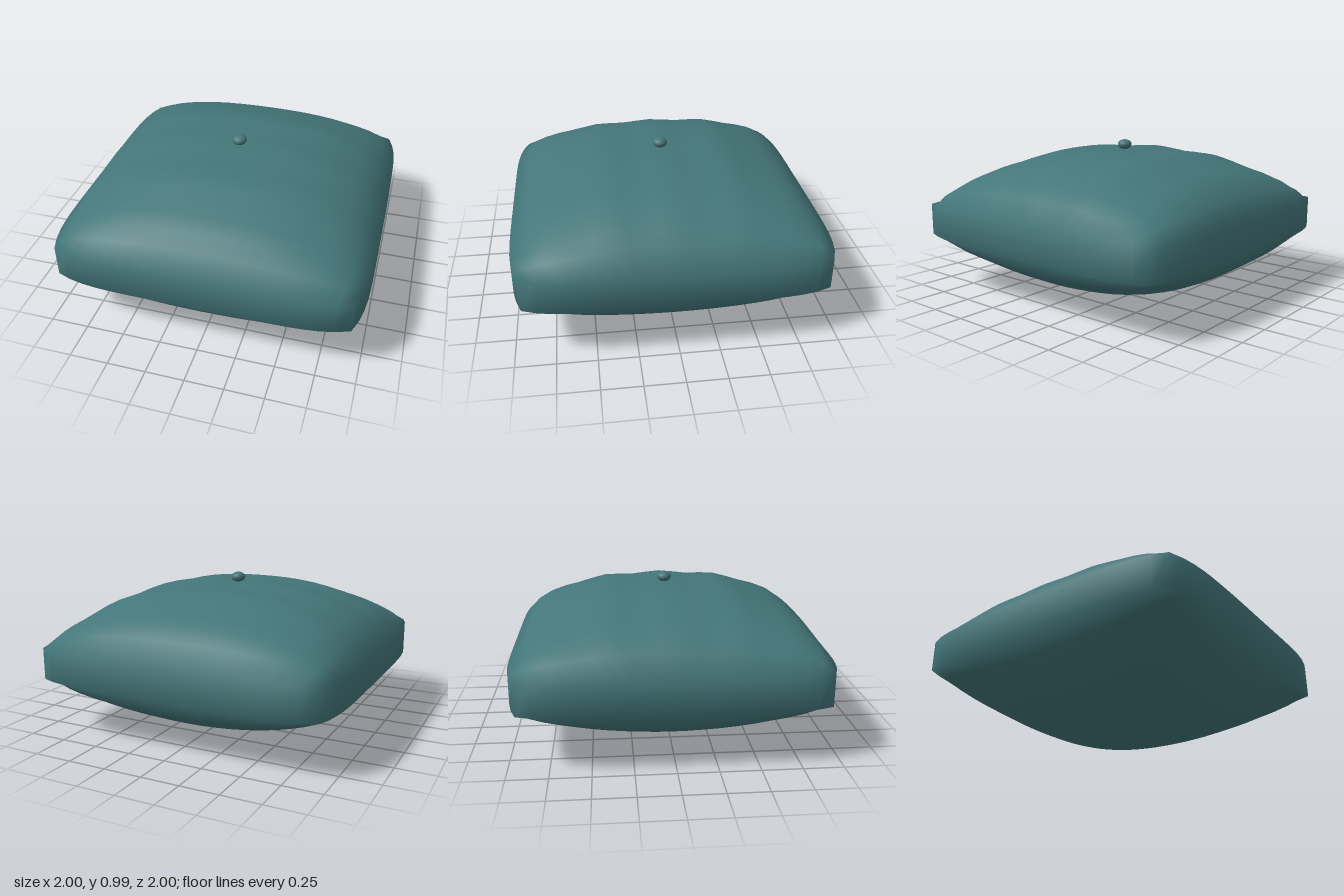
import * as THREE from 'three';
import { mergeVertices } from 'three/addons/utils/BufferGeometryUtils.js';

const MID = 0.468;   // height of the side band's centre
const BAND = 0.103;  // half height of the side band

// Swelling of the cushion from its edge (0) to its middle (1)
const swell = (u, n, p) => Math.pow(Math.max(0, 1 - Math.pow(Math.abs(u), n)), p);

function cushionGeometry() {
  let geo = new THREE.BoxGeometry(2, 2 * BAND, 2, 20, 1, 20);
  geo.deleteAttribute('normal');
  geo.deleteAttribute('uv');
  geo = mergeVertices(geo, 1e-4);
  const pos = geo.attributes.position;
  for (let i = 0; i < pos.count; i++) {
    const u = pos.getX(i), v = pos.getZ(i);
    let y;
    if (pos.getY(i) > 0) {
      // Upper side: full, with soft ripples and a dimple under the button
      const f = swell(u, 2.4, 0.65) * swell(v, 2.4, 0.65);
      const ripple = 0.01 * Math.cos(5 * Math.PI * v) * f;
      const dimple = 0.012 * Math.exp(-(u * u + v * v) / 0.015);
      y = MID + BAND + 0.365 * f + ripple - dimple;
    } else {
      // Underside: a plain even bulge
      y = MID - BAND - 0.362 * swell(u, 2, 0.67) * swell(v, 2, 0.67);
    }
    // Pull the four corners in
    pos.setXYZ(i, u * (1 - 0.07 * Math.pow(v, 6)), y, v * (1 - 0.07 * Math.pow(u, 6)));
  }
  geo.computeVertexNormals();
  return geo;
}

export function createModel() {
  const group = new THREE.Group();
  group.name = 'cushion';
  const fabric = new THREE.MeshStandardMaterial({ color: 0x447679 });
  fabric.name = 'teal fabric';

  const body = new THREE.Mesh(cushionGeometry(), fabric);
  body.name = 'cushionBody';
  group.add(body);

  // Flattened button in the middle of the upper side
  const button = new THREE.Mesh(new THREE.SphereGeometry(0.048, 24, 16), fabric);
  button.name = 'button';
  button.scale.y = 0.7;
  button.position.y = 0.963;
  group.add(button);

  return group;
}
